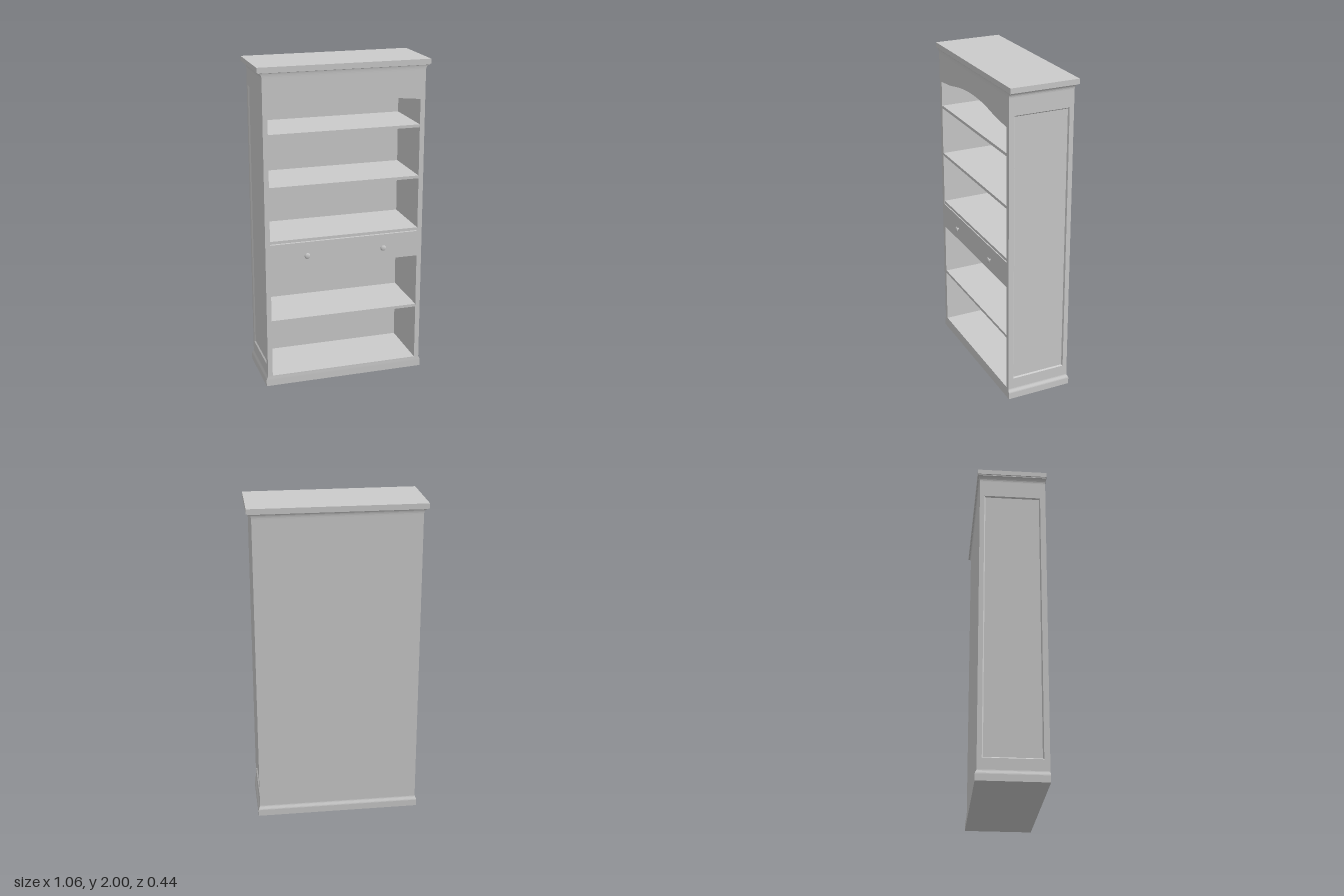
import * as THREE from 'three';

const material = new THREE.MeshStandardMaterial({ color: 0xcccccc });

function add(group, name, geometry, x = 0, y = 0, z = 0) {
  const mesh = new THREE.Mesh(geometry, material);
  mesh.name = name;
  mesh.position.set(x, y, z);
  group.add(mesh);
  return mesh;
}

// Box given by its limits on each axis
function board(group, name, x0, x1, y0, y1, z0, z1) {
  return add(group, name, new THREE.BoxGeometry(x1 - x0, y1 - y0, z1 - z0),
    (x0 + x1) / 2, (y0 + y1) / 2, (z0 + z1) / 2);
}

// Closed solid through a stack of rectangles [height, u0, u1, v0, v1], rising along +z
function rectLoft(sections) {
  const rings = sections.map(([w, u0, u1, v0, v1]) =>
    [[u0, v0, w], [u1, v0, w], [u1, v1, w], [u0, v1, w]]);
  const positions = [];
  const quad = (a, b, c, d) => positions.push(...a, ...b, ...c, ...a, ...c, ...d);
  for (let i = 0; i < rings.length - 1; i++) {
    for (let k = 0; k < 4; k++) {
      const n = (k + 1) % 4;
      quad(rings[i][k], rings[i][n], rings[i + 1][n], rings[i + 1][k]);
    }
  }
  const first = rings[0], last = rings[rings.length - 1];
  quad(first[3], first[2], first[1], first[0]);
  quad(last[0], last[1], last[2], last[3]);
  const geometry = new THREE.BufferGeometry();
  geometry.setAttribute('position', new THREE.Float32BufferAttribute(positions, 3));
  geometry.computeVertexNormals();
  return geometry;
}

// Moulding from rows of [y, half width, back z, front z]
function moulding(rows) {
  return rectLoft(rows.map(([y, hx, back, front]) => [y, -hx, hx, -front, -back]))
    .rotateX(-Math.PI / 2);
}

export function createModel() {
  const model = new THREE.Group();
  model.name = 'bookcase';

  // Plinth with a curved upper edge
  const plinth = [[0, 0.51, -0.215, 0.201], [0.04, 0.51, -0.215, 0.201]];
  for (let i = 1; i <= 5; i++) {
    const t = i / 5, e = 0.01 * (1 - t * t * (3 - 2 * t));
    plinth.push([0.04 + 0.027 * t, 0.5 + e, -0.205 - e, 0.2 + e * 0.1]);
  }
  add(model, 'plinth', moulding(plinth));

  // Cornice: cove swelling out to a flat top slab
  const cornice = [];
  for (let i = 0; i <= 6; i++) {
    const a = (i / 6) * Math.PI / 2, e = 1 - Math.cos(a);
    cornice.push([1.935 + 0.03 * Math.sin(a), 0.5 + 0.022 * e, -0.205 - 0.01 * e, 0.2 + 0.004 * e]);
  }
  cornice.push([1.97, 0.522, -0.215, 0.204], [1.97, 0.53, -0.22, 0.207], [2, 0.53, -0.22, 0.207]);
  add(model, 'cornice', moulding(cornice));

  // Sides with a recessed, bevelled panel on the outside
  for (const s of [1, -1]) {
    const section = (w, back, front, y0, y1) =>
      [w, Math.min(-s * back, -s * front), Math.max(-s * back, -s * front), y0, y1];
    const side = rectLoft([
      section(0.47, -0.205, 0.18, 0.067, 1.935),
      section(0.5, -0.205, 0.18, 0.067, 1.935),
      section(0.5, -0.177, 0.167, 0.135, 1.83),
      section(0.492, -0.17, 0.16, 0.142, 1.823),
    ]).rotateY(s * Math.PI / 2);
    add(model, s > 0 ? 'leftSide' : 'rightSide', side);
  }

  board(model, 'backPanel', -0.47, 0.47, 0.067, 1.935, -0.205, -0.18);

  // Face frame: two stiles joined by an arched header
  const frame = new THREE.Shape();
  frame.moveTo(-0.5, 0.067);
  frame.lineTo(-0.47, 0.067);
  frame.lineTo(-0.47, 1.76);
  frame.bezierCurveTo(-0.41, 1.768, -0.36, 1.769, -0.31, 1.778);
  frame.bezierCurveTo(-0.2, 1.803, -0.1, 1.815, 0, 1.815);
  frame.bezierCurveTo(0.1, 1.815, 0.2, 1.803, 0.31, 1.778);
  frame.bezierCurveTo(0.36, 1.769, 0.41, 1.768, 0.47, 1.76);
  frame.lineTo(0.47, 0.067);
  frame.lineTo(0.5, 0.067);
  frame.lineTo(0.5, 1.935);
  frame.lineTo(-0.5, 1.935);
  frame.closePath();
  add(model, 'faceFrame',
    new THREE.ExtrudeGeometry(frame, { depth: 0.02, bevelEnabled: false, curveSegments: 10 }), 0, 0, 0.18);

  // Shelves, listed by their top surface
  for (const top of [0.435, 0.95, 1.285, 1.605]) {
    board(model, 'shelf', -0.47, 0.47, top - 0.018, top, -0.18, 0.198);
  }

  // Drawer with a narrow gap below the shelf above it
  board(model, 'drawerFront', -0.47, 0.47, 0.765, 0.927, 0.18, 0.2);
  board(model, 'drawerBox', -0.47, 0.47, 0.765, 0.92, -0.18, 0.18);

  // Turned knobs
  const profile = [[0.009, 0], [0.006, 0.004], [0.006, 0.009], [0.016, 0.011],
    [0.018, 0.013], [0.016, 0.017], [0.009, 0.0195], [0, 0.02]]
    .map(([r, h]) => new THREE.Vector2(r, h));
  for (const x of [-0.243, 0.243]) {
    add(model, 'drawerKnob', new THREE.LatheGeometry(profile, 24).rotateX(Math.PI / 2), x, 0.842, 0.2);
  }

  return model;
}
